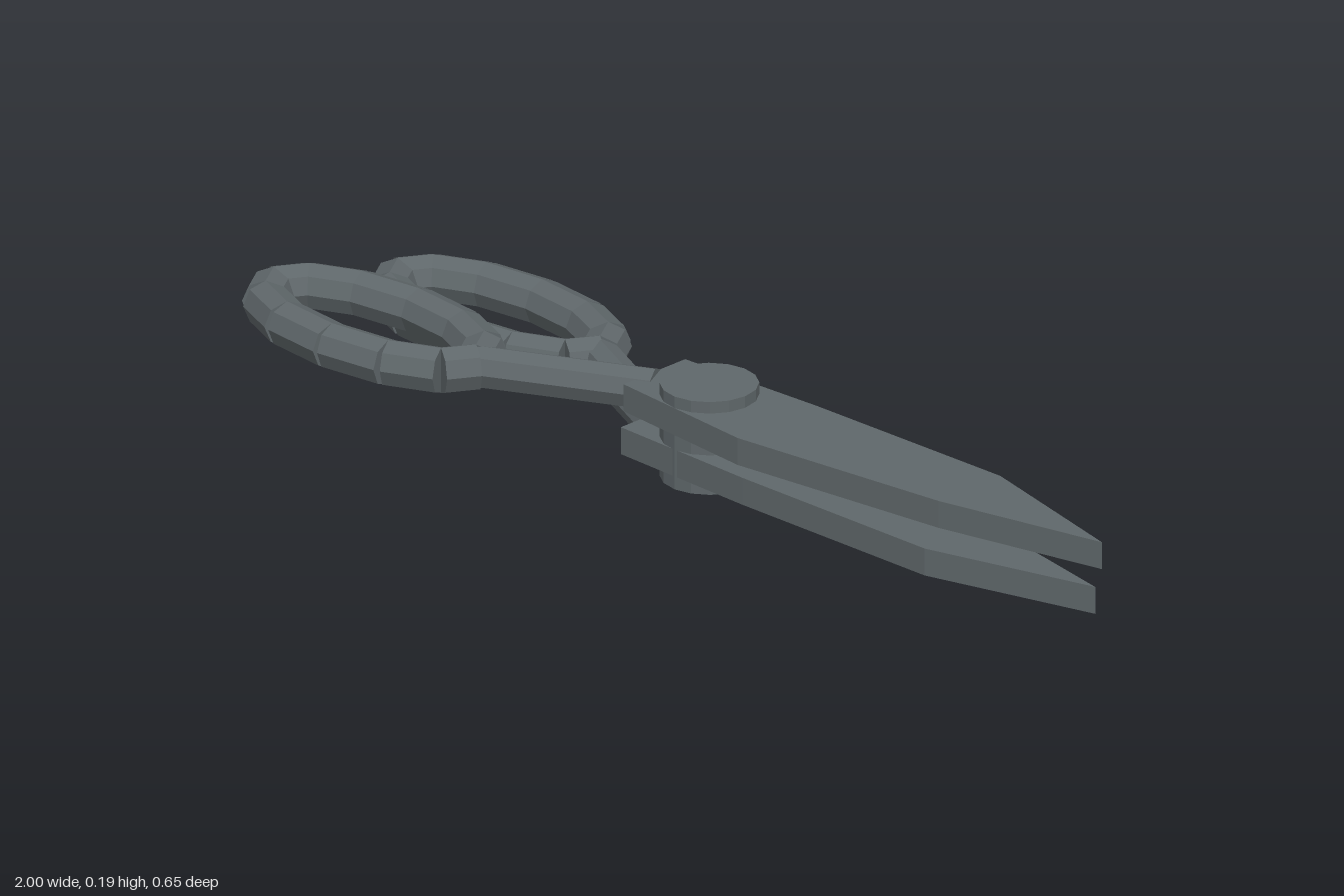
import * as THREE from 'three';

const steel = new THREE.MeshStandardMaterial({ color: 0x5f676a, flatShading: true });
steel.name = 'dark steel';

function part(geometry, name) {
  const mesh = new THREE.Mesh(geometry, steel);
  mesh.name = name;
  return mesh;
}

// Horizontal octagonal bar between two points given as [x, z]
function bar(a, b, radius, name) {
  const dx = b[0] - a[0], dz = b[1] - a[1];
  const g = new THREE.CylinderGeometry(radius, radius, Math.hypot(dx, dz), 8);
  g.rotateX(Math.PI / 2);
  g.rotateY(Math.atan2(dx, dz));
  g.translate((a[0] + b[0]) / 2, 0, (a[1] + b[1]) / 2);
  return part(g, name);
}

// One scissor half; side = 1 puts its handle at +z, -1 at -z
function makeHalf(side, y, name) {
  const half = new THREE.Group();
  half.name = name;
  half.position.y = y;

  // Flat blade, slightly bellied on the handle side
  const outline = [[-0.145, -0.085], [0.18, -0.098], [0.65, -0.1], [1, -0.009],
    [0.65, 0.063], [0.18, 0.111], [-0.145, 0.078]];
  const shape = new THREE.Shape(outline.map(([x, z]) => new THREE.Vector2(x, z * side)));
  const blade = new THREE.ExtrudeGeometry(shape, { depth: 0.054, bevelEnabled: false });
  blade.rotateX(Math.PI / 2);
  blade.translate(0, 0.027, 0);
  half.add(part(blade, 'blade'));

  // Arm from the pivot to the finger ring
  half.add(bar([-0.13, 0.01 * side], [-0.455, 0.168 * side], 0.041, 'arm'));

  // Oval finger ring of twelve straight segments
  const ring = new THREE.Group();
  ring.name = 'fingerRing';
  const at = (i) => {
    const t = (i * Math.PI) / 6;
    return [-0.7 + 0.26 * Math.cos(t), side * (0.164 + 0.114 * Math.sin(t))];
  };
  for (let i = 0; i < 12; i++) ring.add(bar(at(i), at(i + 1), 0.045, 'ringSegment'));
  half.add(ring);
  return half;
}

export function createModel() {
  const model = new THREE.Group();
  model.name = 'scissors';
  model.add(makeHalf(1, 0.136, 'upperHalf'), makeHalf(-1, 0.052, 'lowerHalf'));

  // Pivot pin through both blades
  const pin = part(new THREE.CylinderGeometry(0.092, 0.092, 0.186, 16), 'pivotPin');
  pin.position.y = 0.093;
  model.add(pin);
  return model;
}
